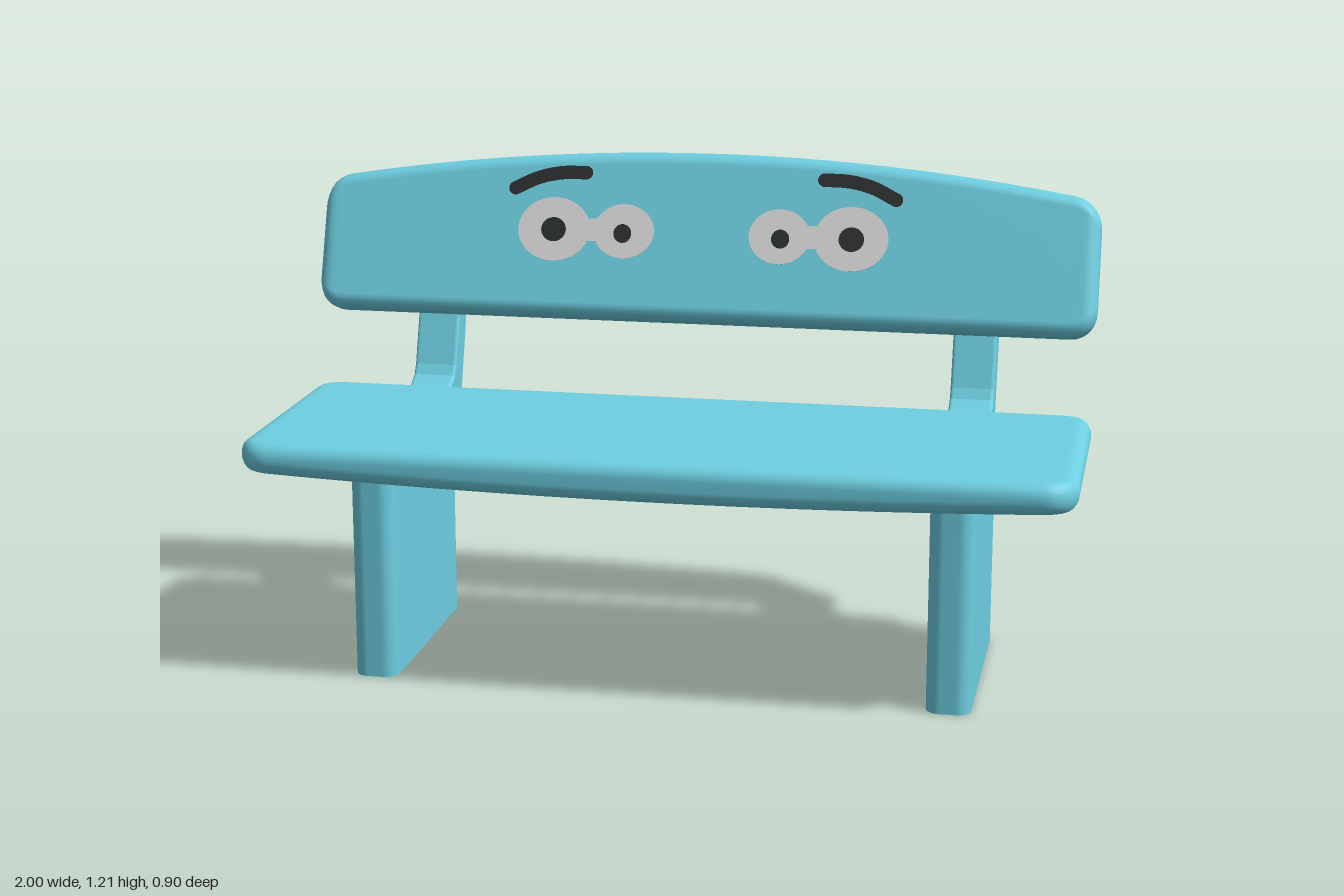
import * as THREE from 'three';

const paint = (name, color) => {
  const m = new THREE.MeshStandardMaterial({ color });
  m.name = name;
  return m;
};

// Soft-edged plank along x; section(x) gives its limits [y0, y1, z0, z1]
function plank(section, round, yCorner, zCorner) {
  const xs = [];
  for (let i = 0; i <= 8; i++) xs.push(-1 + 0.08 * (1 - Math.cos((i / 8) * Math.PI / 2)));
  for (let i = 1; i < 24; i++) xs.push(-0.92 + 1.84 * i / 24);
  for (let i = 8; i >= 0; i--) xs.push(1 - 0.08 * (1 - Math.cos((i / 8) * Math.PI / 2)));
  const steps = 6, ring = 4 * (steps + 1), pos = [], idx = [];
  const inset = (x, r) => {
    const d = Math.max(0, Math.abs(x) - (1 - r));
    return r - Math.sqrt(Math.max(0, r * r - d * d));
  };
  for (const x of xs) {
    let [y0, y1, z0, z1] = section(x);
    const iy = inset(x, yCorner), iz = inset(x, zCorner);
    y0 += iy; y1 -= iy; z0 += iz; z1 -= iz;
    const r = Math.max(0.001, Math.min(round, (y1 - y0) / 2.1, (z1 - z0) / 2.1));
    for (let c = 0; c < 4; c++) {
      const cy = c === 0 || c === 3 ? y1 - r : y0 + r;
      const cz = c < 2 ? z1 - r : z0 + r;
      for (let s = 0; s <= steps; s++) {
        const a = (c + s / steps) * Math.PI / 2;
        pos.push(x, cy + r * Math.cos(a), cz + r * Math.sin(a));
      }
    }
  }
  const last = (xs.length - 1) * ring;
  for (let i = 0; i < xs.length - 1; i++) {
    for (let j = 0; j < ring; j++) {
      const a = i * ring + j, b = i * ring + (j + 1) % ring;
      idx.push(a, b, b + ring, a, b + ring, a + ring);
    }
  }
  for (let j = 1; j < ring - 1; j++) idx.push(0, j + 1, j, last, last + j, last + j + 1);
  const g = new THREE.BufferGeometry();
  g.setAttribute('position', new THREE.Float32BufferAttribute(pos, 3));
  g.setIndex(idx);
  g.computeVertexNormals();
  return g;
}

// Upright slab with rounded vertical edges
function slab(width, z0, z1, height, r) {
  const s = new THREE.Shape(), w = width / 2;
  const corners = [[w - r, -z0 - r, 0], [-w + r, -z0 - r, 1], [-w + r, -z1 + r, 2], [w - r, -z1 + r, 3]];
  for (const [x, y, q] of corners) s.absarc(x, y, r, q * Math.PI / 2, (q + 1) * Math.PI / 2, false);
  s.closePath();
  return new THREE.ExtrudeGeometry(s, { depth: height, bevelEnabled: false, curveSegments: 8 }).rotateX(-Math.PI / 2);
}

// Side profile of [z, y] points, extruded across x
function sidePiece(points, width) {
  const b = 0.008;
  const s = new THREE.Shape(points.map(([z, y]) => new THREE.Vector2(z, y)));
  return new THREE.ExtrudeGeometry(s, {
    depth: width - 2 * b, bevelThickness: b, bevelSize: b, bevelOffset: -b, bevelSegments: 3,
  }).translate(0, 0, b - width / 2).rotateY(-Math.PI / 2);
}

export function createModel() {
  const model = new THREE.Group();
  model.name = 'bench';
  const blue = paint('turquoise', 0x6dcfe2);
  const white = paint('eyeWhite', 0xdadada);
  const dark = paint('charcoal', 0x2a2d2e);
  const add = (parent, name, geometry, material) => {
    const m = new THREE.Mesh(geometry, material);
    m.name = name;
    parent.add(m);
    return m;
  };

  // Seat with a gently bowed underside
  add(model, 'seat', plank(x => [0.54 - 0.024 * (1 - x * x), 0.615, -0.235, 0.447], 0.036, 0.034, 0.08), blue);

  // Tilted backrest with an arched top
  const backrest = new THREE.Group();
  backrest.name = 'backrest';
  backrest.position.set(0, 1.0025, -0.33);
  backrest.rotation.x = -20 * Math.PI / 180;
  model.add(backrest);
  add(backrest, 'backPanel', plank(x => [-0.2175, 0.2175 - 0.092 * x * x, -0.05, 0.05], 0.035, 0.065, 0.034), blue);

  // Painted face on the front of the backrest
  const plate = (name, shape, lift, material) => {
    const g = new THREE.ExtrudeGeometry(shape, { depth: 0.004, bevelEnabled: false, curveSegments: 24 });
    add(backrest, name, g.translate(0, 0, 0.048 + lift), material);
  };
  const ellipse = (x, y, rx, ry) => new THREE.Shape().absellipse(x, y, rx, ry, 0, Math.PI * 2, false);

  for (const side of [-1, 1]) {
    const label = side > 0 ? 'left' : 'right';
    plate(label + 'OuterEye', ellipse(side * 0.382, 0.004, 0.094, 0.082), 0, white);
    plate(label + 'InnerEye', ellipse(side * 0.2, 0.004, 0.078, 0.07), 0, white);
    const bar = new THREE.Shape([[0.25, -0.024], [0.32, -0.024], [0.32, 0.034], [0.25, 0.034]]
      .map(([x, y]) => new THREE.Vector2(side * x, y)));
    plate(label + 'EyeBridge', bar, 0, white);
    plate(label + 'OuterPupil', ellipse(side * 0.383, 0.003, 0.032, 0.031), 0.002, dark);
    plate(label + 'InnerPupil', ellipse(side * 0.203, -0.002, 0.023, 0.024), 0.002, dark);

    // Eyebrow: a round-ended band along a short curve
    const curve = new THREE.CatmullRomCurve3([[0.49, 0.107], [0.43, 0.136], [0.37, 0.15], [0.307, 0.152]]
      .map(([x, y]) => new THREE.Vector3(side * x, y, 0)));
    const upper = [], lower = [];
    for (let i = 0; i <= 20; i++) {
      const t = i / 20, p = curve.getPoint(t), d = curve.getTangent(t);
      upper.push(new THREE.Vector2(p.x - d.y * 0.017, p.y + d.x * 0.017));
      lower.unshift(new THREE.Vector2(p.x + d.y * 0.017, p.y - d.x * 0.017));
    }
    plate(label + 'Eyebrow', new THREE.Shape([...upper, ...lower]), 0.001, dark);
    for (const t of [0, 1]) {
      const p = curve.getPoint(t);
      plate(label + 'EyebrowEnd', ellipse(p.x, p.y, 0.017, 0.017), 0.001, dark);
    }

    // Leg panel, rear post, back support and bracket
    const leg = new THREE.Group();
    leg.name = label + 'Leg';
    leg.position.x = side * 0.705;
    model.add(leg);
    add(leg, 'legPanel', slab(0.108, -0.25, 0.308, 0.56, 0.035), blue);
    add(leg, 'rearPost', slab(0.11, -0.28, -0.19, 0.42, 0.035), blue);
    const support = add(leg, 'backSupport', sidePiece([
      [-0.2, 0.4], [-0.25, 0.42], [-0.31, 0.56], [-0.45, 1.0], [-0.385, 1.028],
      [-0.26, 0.66], [-0.245, 0.635], [-0.2, 0.612], [-0.15, 0.52],
    ], 0.11), blue);
    support.position.x = -side * 0.008;
    add(leg, 'seatBracket', sidePiece([
      [0.068, 0.55], [0.068, 0.525], [0.05, 0.448], [-0.02, 0.448], [-0.1, 0.505], [-0.15, 0.505], [-0.17, 0.55],
    ], 0.118), blue);
  }
  return model;
}
